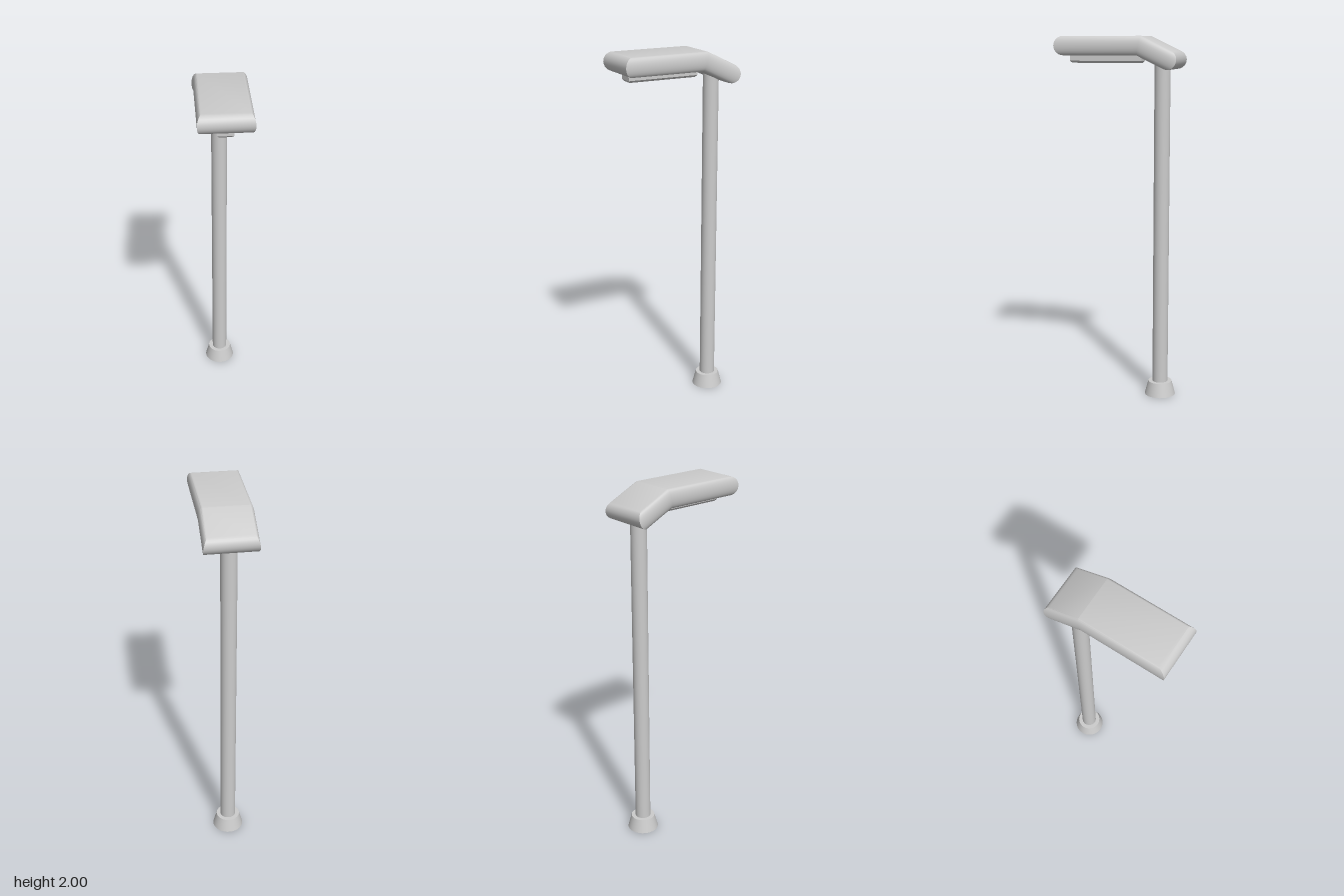
import * as THREE from 'three';
import { toCreasedNormals } from 'three/addons/utils/BufferGeometryUtils.js';

const material = new THREE.MeshStandardMaterial({ color: 0xcccccc });
const POLE_Z = -0.232;

function addMesh(parent, name, geometry) {
  const mesh = new THREE.Mesh(geometry, material);
  mesh.name = name;
  parent.add(mesh);
  return mesh;
}

// Build a closed solid from stacked rings of equal length, listed top to bottom,
// each ring running front right -> front left -> back left around the outline.
function loftRings(rings, creaseAngle) {
  const count = rings[0].length;
  const positions = rings.flat(2);
  const index = [];
  for (let r = 0; r < rings.length - 1; r++) {
    for (let i = 0; i < count; i++) {
      const j = (i + 1) % count;
      const a = r * count + i, b = r * count + j;
      const c = a + count, d = b + count;
      index.push(a, c, b, b, c, d);
    }
  }
  // Caps: strips between mirrored left and right points
  const last = (rings.length - 1) * count;
  for (let i = 0; i < count / 2 - 1; i++) {
    const a = i, b = i + 1, c = count - 2 - i, d = count - 1 - i;
    index.push(a, b, c, a, c, d);
    index.push(last + a, last + c, last + b, last + a, last + d, last + c);
  }
  const geometry = new THREE.BufferGeometry();
  geometry.setAttribute('position', new THREE.Float32BufferAttribute(positions, 3));
  geometry.setIndex(index);
  return toCreasedNormals(geometry, creaseAngle);
}

// Bent lamp head with rounded rim: straight front, drooping back
function lampHeadGeometry() {
  const steps = 12, half = 0.051;
  const rings = [];
  for (let k = 0; k <= steps; k++) {
    const angle = Math.PI * k / steps;
    const up = half * Math.cos(angle), out = Math.sin(angle);
    const x = 0.117 + 0.023 * out;
    const front = [1.949 + up, 0.289 + 0.046 * out];
    const bend = [1.949 + up, -0.13 - 0.23 * up];
    const back = [1.875 + 0.9 * up - 0.022 * out, -0.285 - 0.435 * up - 0.045 * out];
    const side = [back, bend, front];
    rings.push([
      ...side.map(([y, z]) => [-x, y, z]),
      ...side.reverse().map(([y, z]) => [x, y, z]),
    ]);
  }
  return loftRings(rings, 0.5);
}

// Slim light panel, slightly chamfered at its lower edge
function lightPanelGeometry() {
  const levels = [[1.91, 0], [1.868, 0], [1.857, 0.01]];
  const rings = levels.map(([y, inset]) => {
    const x = 0.041 - inset, front = 0.275 - inset, back = -0.125 + inset;
    return [[-x, y, back], [-x, y, front], [x, y, front], [x, y, back]];
  });
  return loftRings(rings, 0.3);
}

export function createModel() {
  const model = new THREE.Group();
  model.name = 'streetLamp';

  // Tapered foot
  const foot = addMesh(model, 'foot', new THREE.CylinderGeometry(0.066, 0.086, 0.076, 32));
  foot.position.set(0, 0.038, POLE_Z);

  // Upright pole reaching into the drooping back of the head
  const pole = addMesh(model, 'pole', new THREE.CylinderGeometry(0.043, 0.043, 1.84, 32));
  pole.position.set(0, 0.96, POLE_Z);

  addMesh(model, 'lampHead', lampHeadGeometry());
  addMesh(model, 'lightPanel', lightPanelGeometry());
  return model;
}
